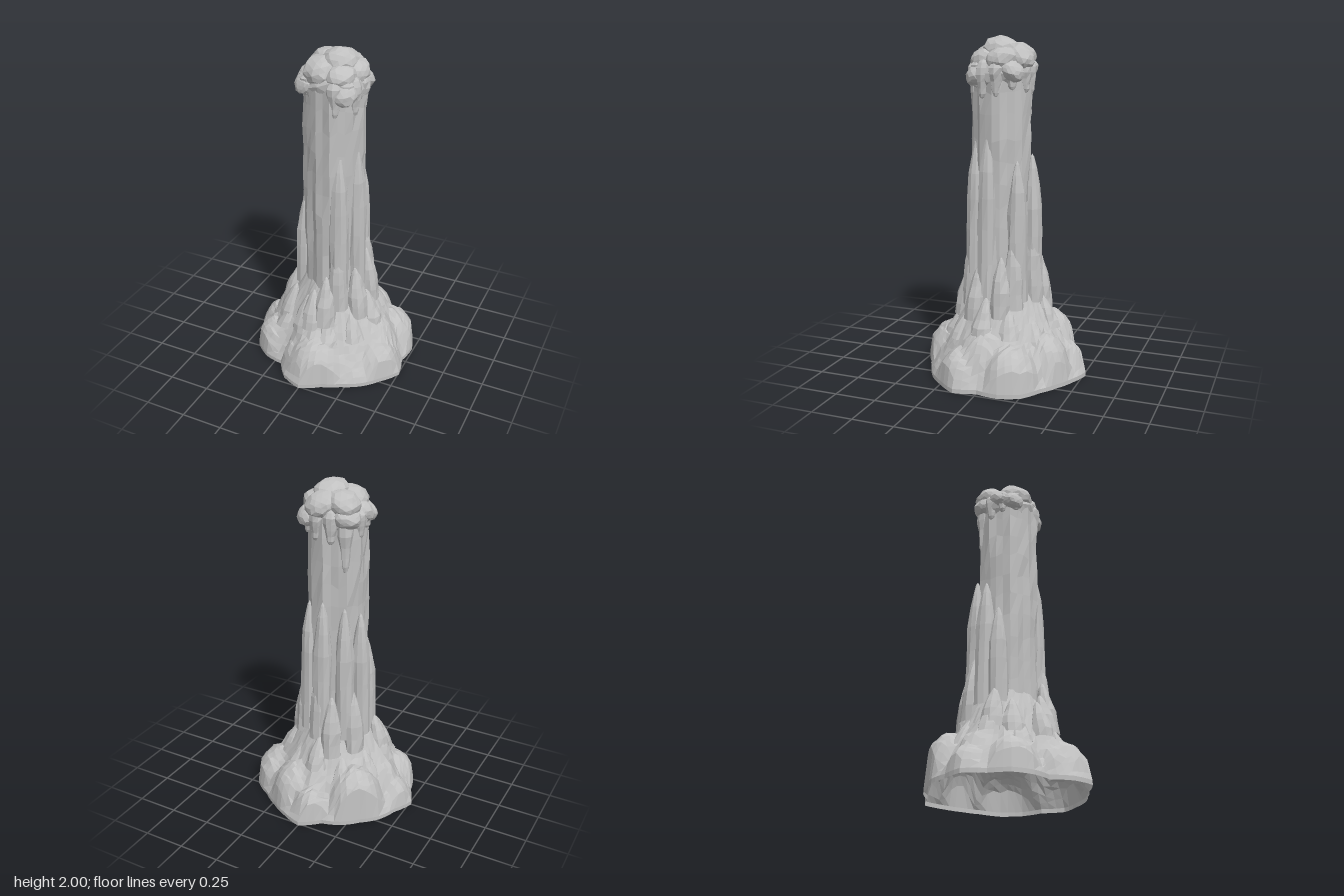
import * as THREE from 'three';

const stone = new THREE.MeshStandardMaterial({ color: 0xc0c0c0, flatShading: true, side: THREE.DoubleSide });
stone.name = 'pale stone';

const TURN = Math.PI * 2;
const CORE = 0.15;

// repeatable roughness from -0.5 to 0.5, equal for vertices at the same place
const noise = (x, y, z) => {
  const r = n => Math.round(n * 500) / 500;
  const s = Math.sin(r(x) * 127.1 + r(y) * 311.7 + r(z) * 74.7) * 43758.5453;
  return s - Math.floor(s) - 0.5;
};

// surface through stacked rings; point(u, row) gives [x, y, z]
function loft(name, sides, rows, point) {
  const pos = [], idx = [];
  for (let j = 0; j <= rows; j++)
    for (let i = 0; i < sides; i++) pos.push(...point(i / sides, j));
  for (let j = 0; j < rows; j++)
    for (let i = 0; i < sides; i++) {
      const a = j * sides + i, b = j * sides + (i + 1) % sides;
      idx.push(a, a + sides, b, b, a + sides, b + sides);
    }
  const g = new THREE.BufferGeometry();
  g.setAttribute('position', new THREE.Float32BufferAttribute(pos, 3));
  g.setIndex(idx);
  g.computeVertexNormals();
  const m = new THREE.Mesh(g, stone);
  m.name = name;
  return m;
}

// radius of the lobed footprint every 15 degrees, from +x towards +z
const FOOT = [
  0.475, 0.525, 0.49, 0.475, 0.455, 0.46, 0.51, 0.475, 0.405, 0.455, 0.485, 0.47,
  0.515, 0.47, 0.465, 0.445, 0.45, 0.445, 0.515, 0.485, 0.47, 0.475, 0.515, 0.51,
];
function footRadius(angle) {
  const k = ((angle / TURN + 1) % 1) * FOOT.length, i = Math.floor(k);
  return THREE.MathUtils.lerp(FOOT[i], FOOT[(i + 1) % FOOT.length], k - i);
}

// rounded mounds on the base: x, z, radius, height
const MOUNDS = [
  [-0.02, -0.385, 0.12, 0.2], [0.13, -0.29, 0.165, 0.29], [0.32, -0.15, 0.18, 0.26],
  [0.34, 0.13, 0.16, 0.22], [0.24, 0.02, 0.21, 0.34], [0.03, 0.3, 0.2, 0.27],
  [-0.29, 0.17, 0.16, 0.23], [-0.39, -0.02, 0.12, 0.18], [-0.22, -0.21, 0.19, 0.32],
  [-0.3, -0.02, 0.13, 0.29], [0.37, 0.06, 0.06, 0.23], [-0.1, 0.32, 0.1, 0.2],
];

// height of the base above a place on the floor: a flare joined with the mounds
function baseHeight(x, z) {
  const reach = (Math.hypot(x, z) - CORE) / (footRadius(Math.atan2(z, x)) - CORE);
  const f = THREE.MathUtils.clamp(reach, 0, 1);
  let y = 0.02 + 0.58 * (1 - f) ** 1.4 + 0.12 * Math.sqrt(1 - f) * f;
  for (const [mx, mz, r, h] of MOUNDS) {
    const d = Math.hypot(x - mx, z - mz) / r;
    if (d < 1) y = Math.max(y, h * Math.sqrt(1 - d * d));
  }
  return y;
}

// hollow lobed base, open underneath
function makeBase() {
  const rows = 15;
  return loft('base', 72, rows, (u, j) => {
    const a = u * TURN, f = j < 2 ? 1 : 1 - ((j - 1) / (rows - 1)) ** 1.15;
    const r = CORE + (footRadius(a) - CORE) * f + (j > 2 ? 0.014 * noise(u, j, 2) : 0);
    const x = Math.cos(a) * r, z = Math.sin(a) * r;
    return [x, j === 0 ? 0 : j === 1 ? 0.025 : baseHeight(x, z) + 0.015 * noise(x, j, z), z];
  });
}

// fluted main shaft
function makeColumn() {
  return loft('column', 24, 10, (u, j) => {
    const a = u * TURN, y = 0.5 + j * 0.132;
    const r = 0.169 + 0.007 * Math.sin(a * 5 + y) + 0.006 * Math.sin(a * 9 - y * 2) + 0.012 * noise(u, y, 1);
    return [0.012 + Math.cos(a) * r, y + 0.04 * noise(u, 3, y), 0.012 + Math.sin(a) * r];
  });
}

// blunt rib along the column; lower ribs stand further out and lean more
function makeRib([degrees, top]) {
  const a0 = THREE.MathUtils.degToRad(degrees), low = Math.max(0, 0.95 - top);
  const w = 0.052 + 0.015 * low, tip = 0.16 + 0.13 * low, spread = 0.015 + 0.09 * low;
  const out0 = tip + spread;
  const foot = Math.min(baseHeight(Math.cos(a0) * out0, Math.sin(a0) * out0) - 0.08, top - 0.15);
  return loft('rib', 10, 7, (u, j) => {
    const t = Math.sin(j / 7 * Math.PI / 2), y = foot + (top - foot) * t, a = u * TURN;
    const taper = Math.min(1, ((top - y) / (0.1 + top * 0.13)) ** 0.6);
    const k = w * taper * (1 + 0.2 * noise(u, a0, y));
    const out = 0.012 + tip + spread * (1 - t) + Math.cos(a) * k, side = Math.sin(a) * k * 1.1;
    return [Math.cos(a0) * out - Math.sin(a0) * side, y, Math.sin(a0) * out + Math.cos(a0) * side];
  });
}

// rounded, tilted lump of the crown
function makeLump([x, y, z, radius]) {
  const g = new THREE.IcosahedronGeometry(1, 2), p = g.attributes.position;
  for (let i = 0; i < p.count; i++) {
    const k = radius * (1 + 0.12 * noise(p.getX(i) + x, p.getY(i), p.getZ(i) + z));
    p.setXYZ(i, p.getX(i) * k * 1.12, p.getY(i) * k * 0.8, p.getZ(i) * k);
  }
  g.computeVertexNormals();
  const m = new THREE.Mesh(g, stone);
  m.name = 'crownLump';
  m.position.set(x, y, z);
  m.rotation.set(z * 3, noise(x, y, z) * 3, -x * 3);
  return m;
}

// drip with a swollen shoulder, built from its tip upwards
function makeDrip([degrees, tip]) {
  const a0 = THREE.MathUtils.degToRad(degrees), top = 1.88;
  return loft('drip', 9, 9, (u, j) => {
    const t = (1 + Math.cos(j / 9 * Math.PI)) / 2, a = u * TURN;
    const swell = 0.029 + 0.024 * Math.max(0, 1 - 2.5 * Math.abs(t - 0.3));
    const k = swell * Math.sqrt(1 - (2 * t - 1) ** 4) * (1 + 0.2 * noise(u, t, a0));
    const out = 0.165 - 0.02 * (1 - t);
    return [0.012 + Math.cos(a0) * out + Math.cos(a) * k, top + (tip - top) * t, 0.012 + Math.sin(a0) * out + Math.sin(a) * k];
  });
}

// angle and tip height of the ribs
const RIBS = [
  [15, 1.45], [55, 1.42], [273, 1.33], [316, 1.3], [230, 1.3], [194, 1.25], [167, 1.07],
  [58, 0.85], [325, 0.85], [279, 0.9], [253, 0.74], [27, 0.68], [346, 0.74], [77, 0.64],
  [217, 0.78], [169, 0.55], [96, 0.54], [145, 0.48],
];
// short ribs all around the foot
for (let i = 0; i < 11; i++) RIBS.push([8 + i * 360 / 11, 0.43 + 0.14 * noise(i, 2, 5)]);

// x, y, z, radius
const LUMPS = [
  [0.04, 1.915, 0, 0.106], [-0.04, 1.88, 0.08, 0.1], [0.08, 1.86, 0.08, 0.09], [0.11, 1.87, -0.02, 0.09],
  [-0.07, 1.89, -0.07, 0.09], [0.04, 1.88, -0.1, 0.09], [-0.12, 1.83, 0.03, 0.075], [0.012, 1.8, 0.012, 0.17],
  [0.11, 1.79, 0.11, 0.08], [-0.11, 1.81, 0.1, 0.07], [0.13, 1.81, -0.09, 0.07], [-0.1, 1.82, -0.09, 0.075],
];

// angle and tip height
const DRIPS = [
  [66, 1.65], [24, 1.65], [352, 1.66], [43, 1.71], [165, 1.73], [138, 1.74],
  [287, 1.68], [226, 1.5], [192, 1.69], [320, 1.7], [255, 1.67],
];

export function createModel() {
  const model = new THREE.Group();
  model.name = 'stalagmite';
  model.add(makeBase(), makeColumn());
  const parts = { ribs: [RIBS, makeRib], crown: [LUMPS, makeLump], drips: [DRIPS, makeDrip] };
  for (const [name, [list, make]] of Object.entries(parts)) {
    const group = new THREE.Group();
    group.name = name;
    group.add(...list.map(make));
    model.add(group);
  }
  return model;
}
